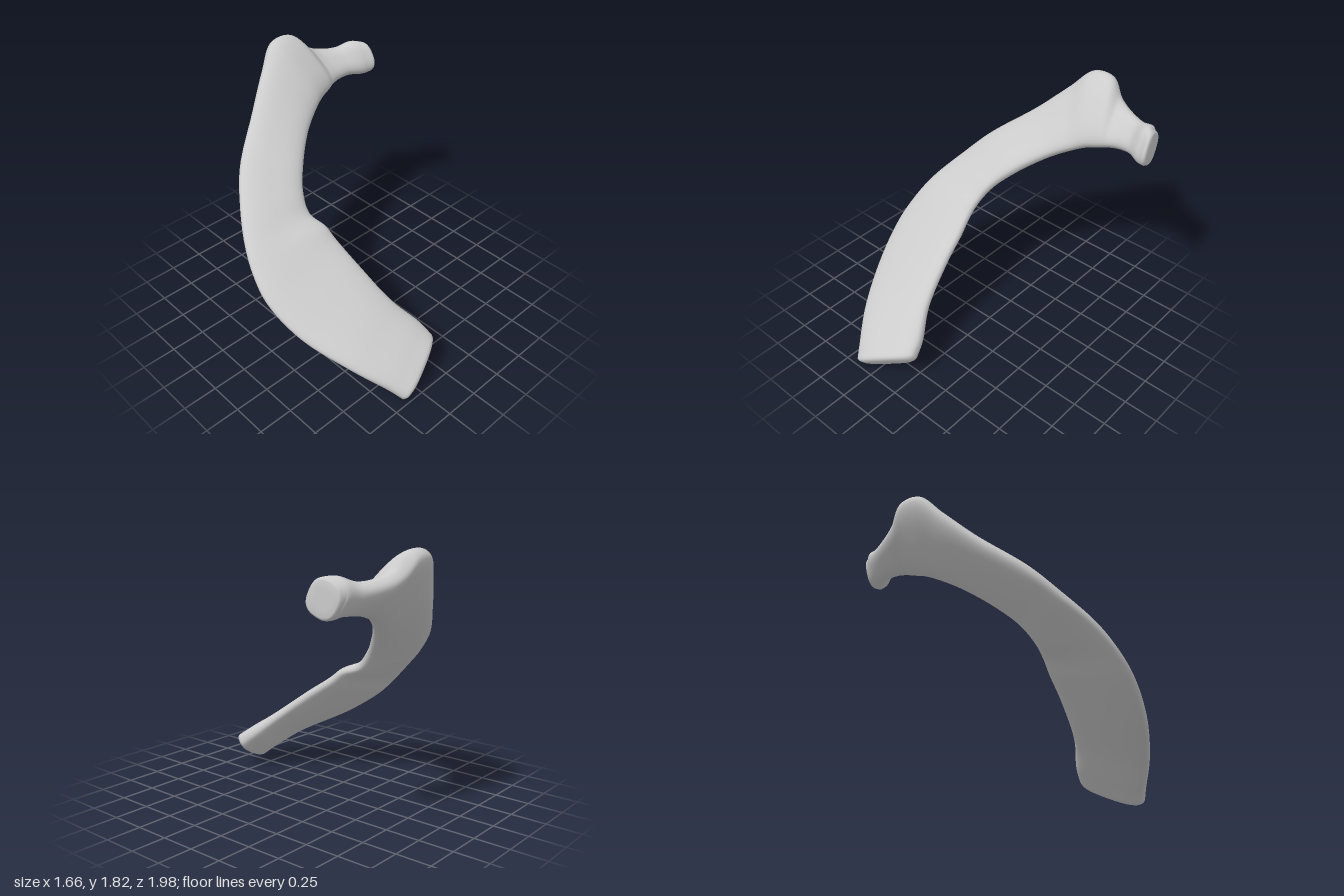
import * as THREE from 'three';

// Stations along the bone: outer edge xyz, inner edge xyz, thickness
const STATIONS = [
  [-0.40, 0.04, 0.97, 0.025, 0.24, 0.81, 0.17],
  [-0.46, 0.11, 0.89, 0.0, 0.31, 0.72, 0.16],
  [-0.60, 0.24, 0.70, -0.10, 0.46, 0.54, 0.13],
  [-0.77, 0.42, 0.36, -0.165, 0.66, 0.28, 0.13],
  [-0.83, 0.60, 0.10, -0.195, 0.79, 0.09, 0.13],
  [-0.81, 0.74, -0.06, -0.21, 0.865, 0.0, 0.12],
  [-0.75, 0.88, -0.21, -0.24, 0.915, -0.13, 0.12],
  [-0.62, 1.05, -0.41, -0.20, 1.02, -0.24, 0.13],
  [-0.48, 1.21, -0.57, -0.09, 1.14, -0.36, 0.14],
  [-0.20, 1.45, -0.76, 0.08, 1.27, -0.50, 0.14],
  [0.00, 1.65, -0.88, 0.22, 1.35, -0.58, 0.15],
  [0.15, 1.80, -0.95, 0.33, 1.40, -0.63, 0.18],
  [0.30, 1.80, -0.955, 0.42, 1.425, -0.655, 0.18],
  [0.40, 1.69, -0.92, 0.48, 1.445, -0.67, 0.15],
  [0.50, 1.65, -0.88, 0.56, 1.46, -0.68, 0.14],
  [0.64, 1.64, -0.82, 0.66, 1.465, -0.67, 0.14],
  [0.74, 1.68, -0.76, 0.76, 1.45, -0.635, 0.19],
  [0.78, 1.67, -0.73, 0.80, 1.455, -0.625, 0.22],
];
// The face of the head looks sideways and slightly back
const HEAD_FACING = new THREE.Vector3(0.97, 0.05, -0.22);

function ribGeometry(steps = 130, sides = 40) {
  const edge = (k) => new THREE.CatmullRomCurve3(
    STATIONS.map((s) => new THREE.Vector3(s[k], s[k + 1], s[k + 2])), false, 'centripetal');
  const outer = edge(0), inner = edge(3);
  const thickness = (u) => {
    const f = u * (STATIONS.length - 1), i = Math.min(Math.floor(f), STATIONS.length - 2);
    return THREE.MathUtils.lerp(STATIONS[i][6], STATIONS[i + 1][6], THREE.MathUtils.smoothstep(f - i, 0, 1));
  };
  const middle = (u) => outer.getPoint(u).add(inner.getPoint(u)).multiplyScalar(0.5);

  // Rings: [position along the bone, scale, push past the end]
  const rings = [[0, 0.02, -0.03], [0, 0.5, -0.03], [0, 0.8, -0.026], [0, 0.94, -0.015]];
  for (let i = 0; i <= steps; i++) rings.push([i / steps, 1, 0]);
  rings.push([1, 0.95, 0.012], [1, 0.85, 0.02], [1, 0.5, 0.02], [1, 0.02, 0.02]);

  const pos = [], index = [];
  const squash = (v) => Math.sign(v) * Math.pow(Math.abs(v), 0.78);
  for (const [u, scale, push] of rings) {
    const mid = middle(u);
    const tangent = middle(Math.min(1, u + 0.05)).sub(middle(Math.max(0, u - 0.05))).normalize();
    tangent.lerp(HEAD_FACING, THREE.MathUtils.smoothstep(u, 0.84, 1));
    const across = outer.getPoint(u).sub(inner.getPoint(u)).multiplyScalar(0.5);
    const normal = tangent.clone().cross(across).normalize().multiplyScalar(thickness(u) / 2);
    // End faces are pushed square to their own section
    const out = across.clone().cross(normal).normalize();
    for (let j = 0; j < sides; j++) {
      const a = (j / sides) * Math.PI * 2;
      const p = mid.clone()
        .addScaledVector(across, squash(Math.cos(a)) * scale)
        .addScaledVector(normal, squash(Math.sin(a)) * scale)
        .addScaledVector(out, push);
      pos.push(p.x, p.y, p.z);
    }
  }
  for (let i = 0; i < rings.length - 1; i++) {
    for (let j = 0; j < sides; j++) {
      const k = (j + 1) % sides;
      const a = i * sides + j, b = i * sides + k, c = a + sides, d = b + sides;
      index.push(a, b, c, b, d, c);
    }
  }
  // Close both ends
  const last = (rings.length - 1) * sides;
  for (let j = 1; j < sides - 1; j++) {
    index.push(0, j + 1, j, last, last + j, last + j + 1);
  }
  const g = new THREE.BufferGeometry();
  g.setAttribute('position', new THREE.Float32BufferAttribute(pos, 3));
  g.setIndex(index);
  g.computeVertexNormals();
  return g;
}

export function createModel() {
  const group = new THREE.Group();
  group.name = 'rib';
  // Flat shaft with tubercle, neck and head in one continuous skin
  const bone = new THREE.Mesh(ribGeometry(), new THREE.MeshStandardMaterial({ color: 0xcccccc }));
  bone.name = 'ribBone';
  group.add(bone);
  // Rest on the ground
  bone.geometry.computeBoundingBox();
  bone.position.y = -bone.geometry.boundingBox.min.y;
  return group;
}
